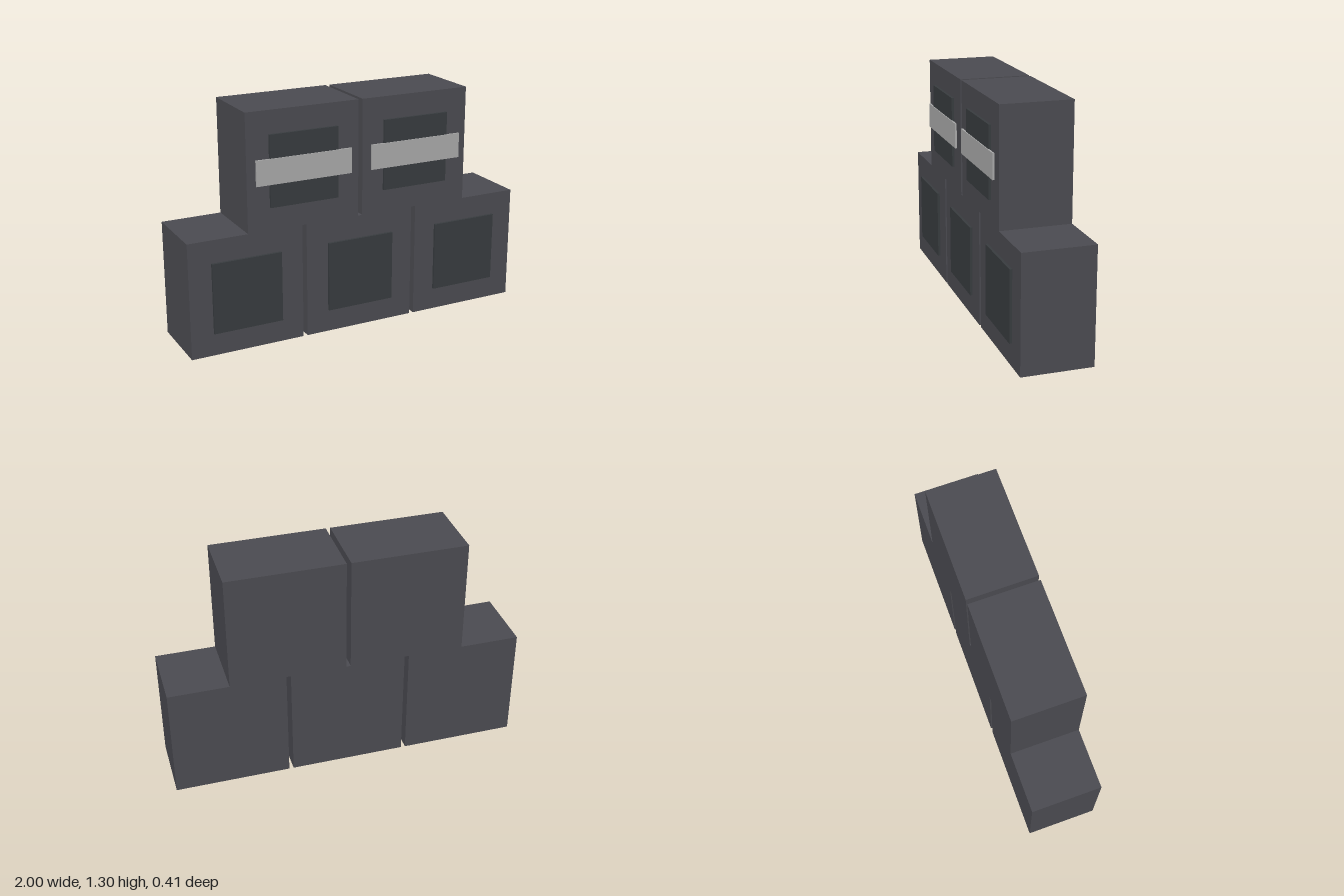
import * as THREE from 'three';

const SIZE = 0.65, PITCH = 0.675;
const BACK = -0.207, FRONT = 0.188;

export function createModel() {
  const model = new THREE.Group();
  model.name = 'stackedCrates';

  const crateMat = new THREE.MeshStandardMaterial({ color: 0x4b4b51 });
  const panelMat = new THREE.MeshStandardMaterial({ color: 0x383c3f });
  const stripMat = new THREE.MeshStandardMaterial({ color: 0xaaaaaa });

  // Box centred on x and y, spanning z0 to z1
  function addBox(parent, name, mat, w, h, z0, z1) {
    const mesh = new THREE.Mesh(new THREE.BoxGeometry(w, h, z1 - z0), mat);
    mesh.name = name;
    mesh.position.z = (z0 + z1) / 2;
    parent.add(mesh);
  }

  // One crate with a raised front panel and, if wanted, a label strip
  function addCrate(name, x, y, hasStrip) {
    const crate = new THREE.Group();
    crate.name = name;
    crate.position.set(x, y, 0);
    addBox(crate, 'crateBody', crateMat, SIZE, SIZE, BACK, FRONT);
    addBox(crate, 'frontPanel', panelMat, 0.395, 0.395, FRONT - 0.005, 0.202);
    if (hasStrip) addBox(crate, 'labelStrip', stripMat, 0.555, 0.14, 0.197, 0.207);
    model.add(crate);
  }

  // Bottom row of three, top row of two
  ['rightLowerCrate', 'middleLowerCrate', 'leftLowerCrate'].forEach((name, i) =>
    addCrate(name, (i - 1) * PITCH, SIZE / 2, false));
  ['rightUpperCrate', 'leftUpperCrate'].forEach((name, i) =>
    addCrate(name, (i - 0.5) * PITCH, SIZE * 1.5, true));

  return model;
}
